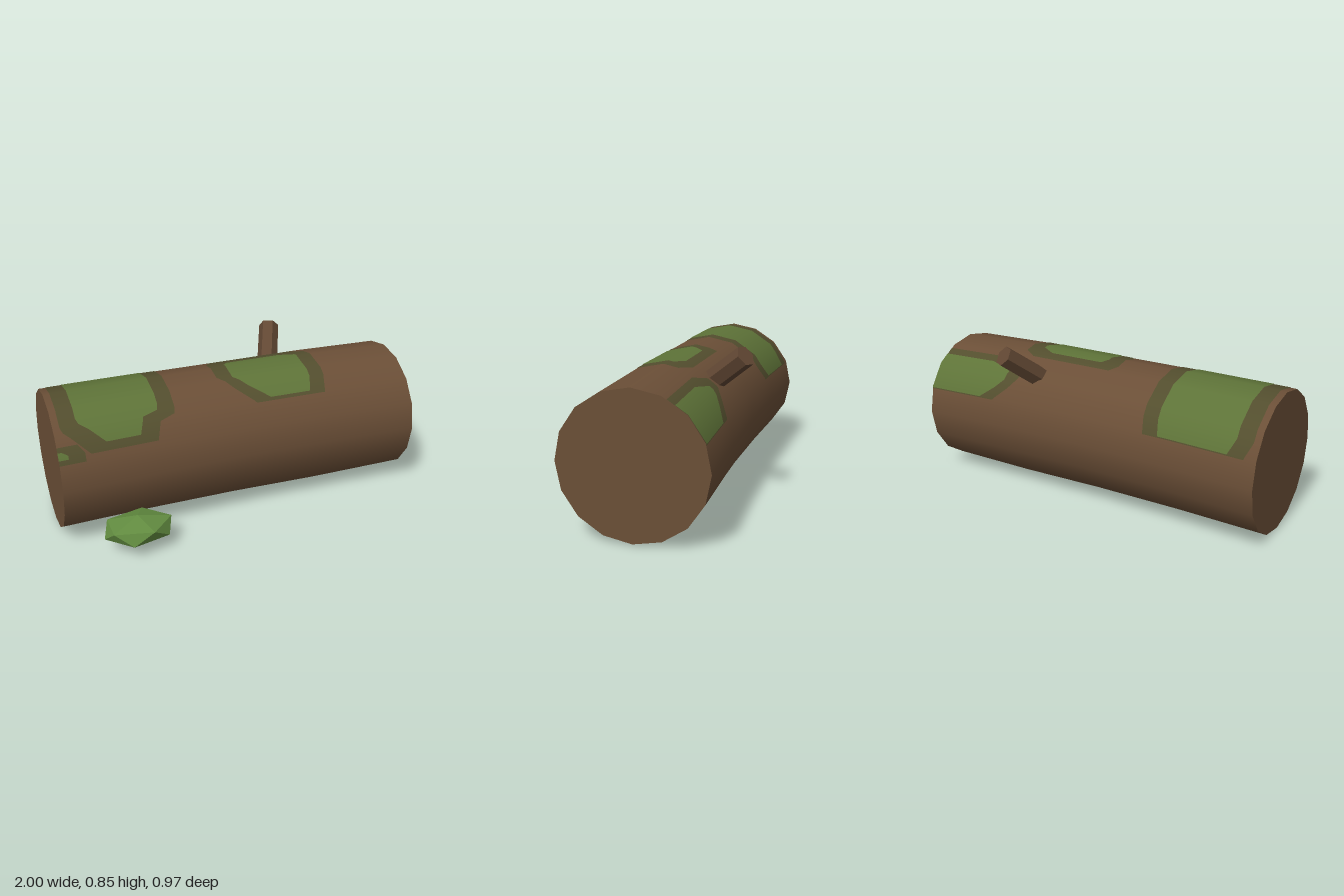
import * as THREE from 'three';
import { ConvexGeometry } from 'three/addons/geometries/ConvexGeometry.js';

const SIDES = 16;
const STEP = 360 / SIDES;
const RAD = Math.PI / 180;
const { lerp, clamp } = THREE.MathUtils;

// log cross-sections: x, centre y, centre z, radius y, radius z
const SECTIONS = [
  [-1, 0.383, -0.057, 0.373, 0.383],
  [-0.5, 0.388, -0.055, 0.374, 0.366],
  [0, 0.388, -0.055, 0.376, 0.355],
  [0.5, 0.384, -0.055, 0.381, 0.361],
  [1, 0.38, -0.056, 0.371, 0.377],
];

function sectionAt(x) {
  const t = clamp((x + 1) * 2, 0, 4);
  const i = Math.min(3, Math.floor(t));
  return SECTIONS[i].map((v, k) => lerp(v, SECTIONS[i + 1][k], t - i));
}

// point on the faceted log; angle in degrees from the top towards +z
function barkPoint(x, angle, lift = 0) {
  const [, cy, cz, ry, rz] = sectionAt(x);
  const k = Math.floor(angle / STEP + 1e-6);
  const corner = (n) => new THREE.Vector3(
    x,
    cy + (ry + lift) * Math.cos(n * STEP * RAD),
    cz + (rz + lift) * Math.sin(n * STEP * RAD),
  );
  return corner(k).lerp(corner(k + 1), angle / STEP - k);
}

// sheet lying on the log, from rows of [angle, xStart, xEnd]
function barkSheet(rows, lift, columns) {
  // add extra rows where the sheet crosses an edge of the log
  const full = [];
  rows.forEach((row, i) => {
    full.push(row);
    const next = rows[i + 1];
    if (!next) return;
    for (let a = (Math.floor(row[0] / STEP) + 1) * STEP; a < next[0]; a += STEP) {
      const t = (a - row[0]) / (next[0] - row[0]);
      full.push(row.map((v, k) => lerp(v, next[k], t)));
    }
  });
  const pos = [], nor = [], index = [];
  full.forEach(([a, x0, x1], i) => {
    for (let j = 0; j <= columns; j++) {
      pos.push(...barkPoint(lerp(x0, x1, j / columns), a, lift).toArray());
      nor.push(0, Math.cos(a * RAD), Math.sin(a * RAD));
      if (i < full.length - 1 && j < columns) {
        const p = i * (columns + 1) + j, q = p + columns + 1;
        index.push(p, q, p + 1, q, q + 1, p + 1);
      }
    }
  });
  const g = new THREE.BufferGeometry();
  g.setAttribute('position', new THREE.Float32BufferAttribute(pos, 3));
  g.setAttribute('normal', new THREE.Float32BufferAttribute(nor, 3));
  g.setIndex(index);
  return g;
}

// flat cut end of the log
function cutEnd(x) {
  const [, cy, cz] = sectionAt(x);
  const pos = [];
  for (let k = 0; k < SIDES; k++) {
    const a = barkPoint(x, k * STEP).toArray();
    const b = barkPoint(x, (k + 1) * STEP).toArray();
    pos.push(x, cy, cz, ...(x > 0 ? [...a, ...b] : [...b, ...a]));
  }
  const g = new THREE.BufferGeometry();
  g.setAttribute('position', new THREE.Float32BufferAttribute(pos, 3));
  g.computeVertexNormals();
  return g;
}

// moss patches as rows on the log; grow is the rim width in degrees at the first and last row
const MOSS = [
  {
    name: 'rightMoss', grow: [1, 7],
    rows: [[-68, -0.85, -0.47], [-55, -0.88, -0.45], [33, -0.88, -0.45],
      [38, -0.87, -0.46], [42, -0.84, -0.54], [56, -0.75, -0.57]],
  },
  {
    name: 'middleMoss', grow: [10, 3],
    rows: [[-11, 0.03, 0.35], [-4, 0, 0.43], [18, 0, 0.43], [30, 0.07, 0.43], [44, 0.17, 0.4]],
  },
  {
    name: 'leftMoss', grow: [1, 7],
    rows: [[-68, 0.66, 1], [-58, 0.58, 1], [-50, 0.53, 1], [-41, 0.52, 1], [-34, 0.66, 1]],
  },
  {
    name: 'endMoss', grow: [4, 4],
    rows: [[58, -1, -0.98], [61, -1, -0.95], [64, -1, -0.95]],
  },
];

// widen a patch on all sides to make its dark rim
function rimRows(rows, [before, after]) {
  const first = rows[0][0], last = rows[rows.length - 1][0];
  return rows.map(([a, x0, x1]) => [
    a + lerp(-before, after, (a - first) / (last - first)),
    Math.max(-1, x0 - 0.085),
    Math.min(1, x1 + 0.085),
  ]);
}

// squashed twenty-sided clump
function clumpGeometry() {
  const pts = [new THREE.Vector3(0, 0.074, 0), new THREE.Vector3(0, -0.074, 0)];
  for (let k = 0; k < 10; k++) {
    const a = k * 36 * RAD;
    pts.push(new THREE.Vector3(0.18 * Math.cos(a), k % 2 ? -0.033 : 0.033, 0.131 * Math.sin(a)));
  }
  return new ConvexGeometry(pts);
}

export function createModel() {
  const group = new THREE.Group();
  const material = (name, color, flatShading = false) =>
    new THREE.MeshStandardMaterial({ name, color, flatShading });
  const bark = material('bark brown', 0x6b4f37);
  const twig = material('branch brown', 0x614733, true);
  const moss = material('moss green', 0x5e7338);
  const rim = material('moss rim olive', 0x534e2e);
  const leaf = material('leaf green', 0x628c40, true);

  const add = (name, geometry, mat) => {
    const mesh = new THREE.Mesh(geometry, mat);
    mesh.name = name;
    group.add(mesh);
    return mesh;
  };

  // log
  add('logBark', barkSheet([[-180, -1, 1], [180, -1, 1]], 0, 4), bark);
  add('logEndLeft', cutEnd(1), bark);
  add('logEndRight', cutEnd(-1), bark);

  // moss
  for (const { name, rows, grow } of MOSS) {
    add(name + 'Rim', barkSheet(rimRows(rows, grow), 0.002, 8), rim);
    add(name, barkSheet(rows, 0.004, 8), moss);
  }

  // broken branch stub
  const base = new THREE.Vector3(0.31, 0.6, -0.19);
  const tip = new THREE.Vector3(0.43, 0.812, -0.45);
  const axis = tip.clone().sub(base);
  const branch = add('branchStub', new THREE.CylinderGeometry(0.057, 0.06, axis.length(), 6), twig);
  branch.position.copy(base).add(tip).multiplyScalar(0.5);
  branch.quaternion.setFromUnitVectors(new THREE.Vector3(0, 1, 0), axis.normalize());

  // leafy clump beside the log
  add('leafClump', clumpGeometry(), leaf).position.set(-0.64, 0.123, 0.362);

  return group;
}
